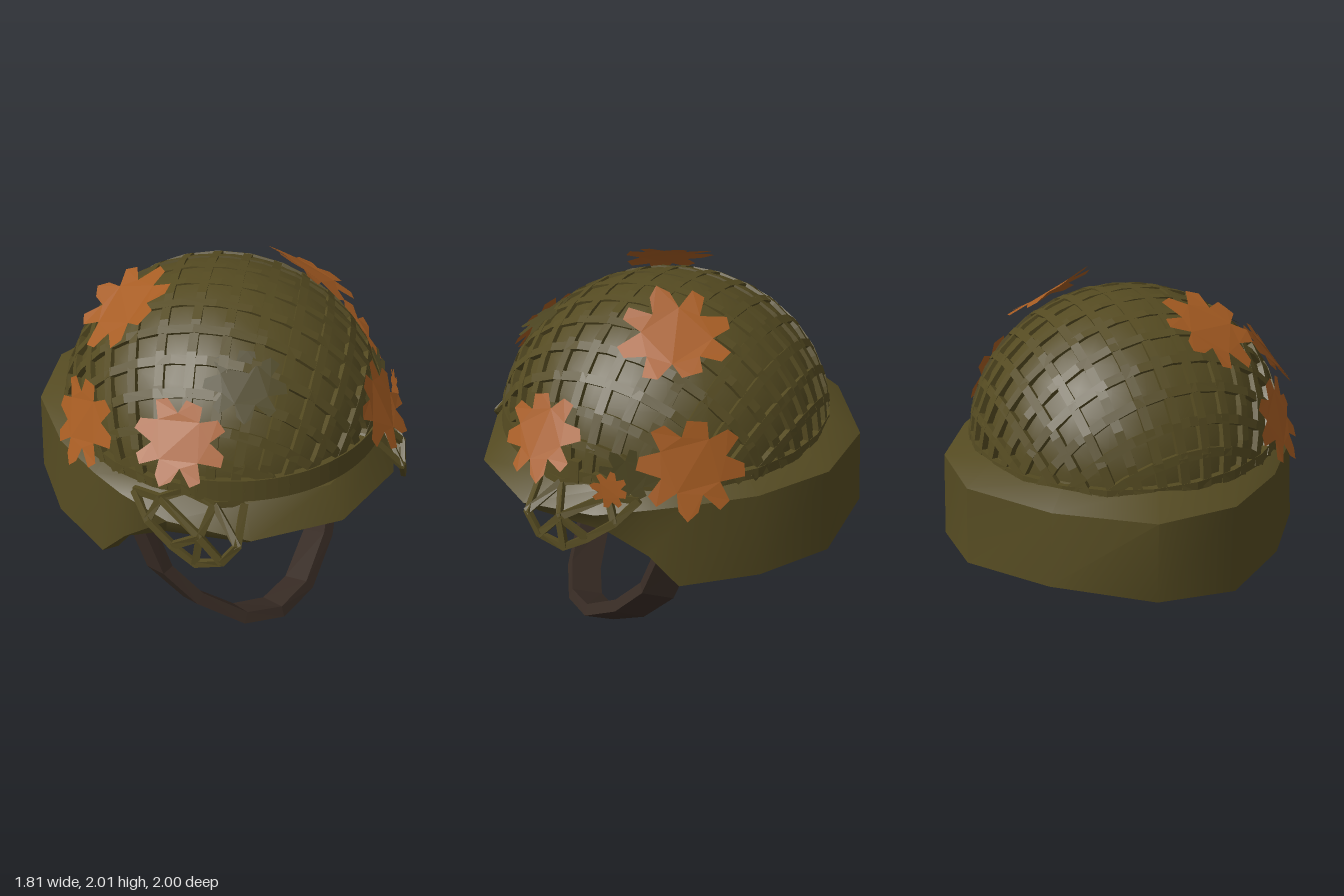
import * as THREE from 'three';
import { mergeGeometries, toCreasedNormals } from 'three/addons/utils/BufferGeometryUtils.js';

const V = (x, y, z) => new THREE.Vector3(x, y, z);
const CENTER = V(0, 1.2, 0.03), RADII = V(0.78, 0.735, 0.82);

// Skin closed rings of points; rings run counter-clockwise about the direction of advance
function loft(rings, capped = false) {
  const n = rings[0].length, index = [];
  for (let i = 0; i < rings.length - 1; i++) {
    for (let j = 0; j < n; j++) {
      const a = i * n + j, b = i * n + (j + 1) % n;
      index.push(a, b, b + n, a, b + n, a + n);
    }
  }
  if (capped) {
    const e = (rings.length - 1) * n;
    for (let j = 1; j < n - 1; j++) index.push(0, j + 1, j, e, e + j, e + j + 1);
  }
  const geo = new THREE.BufferGeometry().setFromPoints(rings.flat());
  geo.setIndex(index);
  return geo;
}

function flat(geo) {
  const g = geo.toNonIndexed();
  g.computeVertexNormals();
  return g;
}

// Flat strap along a path; normalAt(point, tangent) gives the direction of its face
function ribbon(points, halfWidth, halfThick, normalAt) {
  return flat(loft(points.map((p, i) => {
    const t = points[Math.min(i + 1, points.length - 1)].clone().sub(points[Math.max(i - 1, 0)]).normalize();
    const n = normalAt(p, t).normalize();
    const w = n.clone().cross(t).normalize().multiplyScalar(halfWidth);
    n.multiplyScalar(halfThick);
    return [[1, -1], [1, 1], [-1, 1], [-1, -1]].map(([a, b]) =>
      p.clone().addScaledVector(w, a).addScaledVector(n, b));
  }), true));
}

const domeNormal = p => p.clone().sub(CENTER).divide(RADII).divide(RADII).normalize();

// Point on the dome from flat coordinates measured outwards from the crown
function domePoint(u, v, offset) {
  const a = Math.hypot(u, v) || 1e-6;
  const p = V(Math.sin(a) * u / a, Math.cos(a), Math.sin(a) * v / a).multiply(RADII).add(CENTER);
  return p.addScaledVector(domeNormal(p), offset);
}

// Half outline of the rim, back to front: ledge, upper edge, lower edge, inner lower edge
const COLUMNS = [
  [[0, 1.28, -0.79], [0, 1.20, -0.94], [0, 0.84, -1.0], [0, 0.80, -0.9]],
  [[0.42, 1.27, -0.69], [0.48, 1.19, -0.85], [0.49, 0.79, -0.88], [0.44, 0.77, -0.79]],
  [[0.62, 1.25, -0.48], [0.76, 1.18, -0.56], [0.78, 0.73, -0.58], [0.69, 0.71, -0.52]],
  [[0.75, 1.23, -0.14], [0.85, 1.17, -0.17], [0.89, 0.74, -0.18], [0.78, 0.69, -0.17]],
  [[0.75, 1.22, 0.12], [0.84, 1.17, 0.15], [0.87, 0.74, 0.22], [0.77, 0.70, 0.2]],
  [[0.72, 1.21, 0.32], [0.81, 1.16, 0.34], [0.81, 0.90, 0.35], [0.73, 0.88, 0.32]],
  [[0.64, 1.2, 0.52], [0.71, 1.11, 0.58], [0.68, 0.99, 0.52], [0.62, 0.99, 0.46]],
  [[0.41, 1.2, 0.77], [0.44, 1.06, 0.87], [0.41, 0.985, 0.8], [0.36, 0.99, 0.7]],
  [[0, 1.2, 0.89], [0, 1.06, 1.0], [0, 0.99, 0.9], [0, 0.99, 0.79]],
];
const mirrored = half => [...half, ...half.slice(1, -1).reverse().map(p => V(-p.x, p.y, p.z))];
const RINGS = [0, 1, 2, 3].map(k => mirrored(COLUMNS.map(c => V(...c[k]))));

function helmetRim() {
  // Ledge runs in under the dome
  const tucked = RINGS[0].map(p => V(p.x * 0.9, p.y + 0.02, p.z * 0.9));
  return toCreasedNormals(loft([tucked, ...RINGS.slice(0, 3)]), 0.6);
}

// Smooth padded lining rising from the lower edge
function helmetLining() {
  const profile = [[0.83, 1.03], [0.66, 1.25], [0.4, 1.42], [0.01, 1.49]];
  const geo = loft([RINGS[2], RINGS[3], ...profile.map(([s, y]) => RINGS[3].map(p => V(p.x * s, y, p.z * s)))]);
  geo.computeVertexNormals();
  return geo;
}

function netting() {
  const strips = [], limit = 1.53, step = 0.2, r = Math.SQRT1_2;
  // Two crossing families of strips, sinking into the cover towards the crown
  for (let k = -8; k <= 7; k++) {
    const c = (k + 0.5) * step;
    if (Math.abs(c) > limit - 0.1) continue;
    const end = Math.sqrt(limit * limit - c * c), count = Math.max(4, Math.round(end * 9));
    for (const side of [1, -1]) {
      const path = [];
      for (let i = 0; i <= count; i++) {
        const t = end * (2 * i / count - 1), u = (c + t) * r, v = (c - t) * r * side;
        path.push(domePoint(u, v, -0.013 + 0.02 * Math.hypot(u, v)));
      }
      strips.push(ribbon(path, 0.022, 0.015, domeNormal));
    }
  }
  // Hem, widest across the brow
  const arc = (from, to, width, angle) => {
    const path = [];
    for (let i = 0; i <= 24; i++) {
      const a = from + (to - from) * i / 24;
      path.push(domePoint(Math.sin(a) * angle, Math.cos(a) * angle, 0.018));
    }
    strips.push(ribbon(path, width, 0.016, domeNormal));
  };
  arc(-Math.PI, Math.PI, 0.025, 1.5);
  arc(-0.8, 0.8, 0.055, 1.48);
  return mergeGeometries(strips);
}

// Loose net hanging over each front corner of the brim
function netDrape(side) {
  const pts = [[0.4, 1.2, 0.76], [0.6, 1.24, 0.57], [0.76, 1.19, 0.38], [0.51, 1.06, 0.86],
    [0.57, 0.96, 0.82], [0.65, 0.92, 0.72], [0.71, 0.99, 0.62], [0.765, 1.09, 0.5],
    [0.63, 1.08, 0.73], [0.52, 1.2, 0.69], [0.7, 1.2, 0.51]].map(p => V(p[0] * side, p[1], p[2]));
  const chains = [[0, 3, 4, 5, 6, 7, 2], [9, 8, 6], [10, 8, 4], [1, 9, 3], [1, 10, 7], [0, 9, 1, 10, 2], [8, 5]];
  return mergeGeometries(chains.map(ch =>
    ribbon(ch.map(i => pts[i]), 0.018, 0.012, p => V(p.x, 0.1, p.z))));
}

function chinStrap() {
  const half = [[0, 0.068, 0.515], [0.21, 0.11, 0.475], [0.43, 0.285, 0.36], [0.56, 0.48, 0.245],
    [0.61, 0.74, 0.165], [0.64, 1.0, 0.1]].map(p => V(...p));
  const path = [...half.slice(1).reverse().map(p => V(-p.x, p.y, p.z)), ...half];
  return ribbon(path, 0.09, 0.032, (p, t) => t.clone().cross(V(0, 0.07, 0.17)));
}

// Broad leaf with blunt lobes, slightly cupped
function leafGeometry(size) {
  const half = [[0, 1], [12, 0.84], [24, 0.56], [36, 0.95], [50, 0.93], [62, 0.58], [80, 0.97], [94, 0.92],
    [108, 0.6], [124, 0.92], [140, 0.85], [153, 0.52], [167, 0.78], [180, 0.76]];
  const outline = [...half, ...half.slice(1, -1).reverse().map(([a, r]) => [-a, r])];
  const geo = new THREE.ShapeGeometry(new THREE.Shape(outline.map(([a, r]) => {
    const t = a * Math.PI / 180;
    return new THREE.Vector2(-Math.sin(t) * r * size, Math.cos(t) * r * size);
  })));
  const pos = geo.attributes.position;
  for (let i = 0; i < pos.count; i++) {
    pos.setZ(i, -0.4 * pos.getX(i) ** 2 + 0.2 * pos.getY(i) ** 2);
  }
  return flat(geo);
}

export function createModel() {
  const group = new THREE.Group();
  const material = (name, color, side = THREE.FrontSide) => {
    const m = new THREE.MeshStandardMaterial({ color, side });
    m.name = name;
    return m;
  };
  const olive = material('olive', 0x544a21);
  const orange = material('autumn orange', 0xa65c22, THREE.DoubleSide);
  const darkLeaf = material('dark leaf green', 0x4b4421, THREE.DoubleSide);
  const leather = material('dark brown', 0x372b24);
  const add = (name, geo, mat) => {
    const m = new THREE.Mesh(geo, mat);
    m.name = name;
    group.add(m);
    return m;
  };

  const dome = new THREE.SphereGeometry(1, 24, 9, 0, Math.PI * 2, 0, Math.PI / 2);
  dome.scale(RADII.x, RADII.y, RADII.z).translate(CENTER.x, CENTER.y, CENTER.z);
  add('dome', dome, olive);
  add('rim', helmetRim(), olive);
  add('lining', helmetLining(), olive);
  add('netting', netting(), olive);
  add('leftNetDrape', netDrape(1), olive);
  add('rightNetDrape', netDrape(-1), olive);
  add('chinStrap', chinStrap(), leather);

  // Leaves: centre, size, spin, upward tilt, material
  const leaves = [
    [[0.475, 1.85, 0.12], 0.28, 0.25, 0, orange],
    [[0.81, 1.37, 0.14], 0.265, 3.0, 0.1, orange],
    [[0.42, 1.42, 0.76], 0.24, 3.5, 0.25, orange],
    [[-0.61, 1.52, 0.55], 0.23, 2.9, 0.2, orange],
    [[-0.81, 1.4, 0.01], 0.25, 3.2, 0.1, orange],
    [[-0.48, 1.86, -0.1], 0.27, 1.8, 0, orange],
    [[0.75, 1.26, 0.51], 0.1, 1.4, 0, orange],
    [[-0.27, 1.71, 0.58], 0.2, 3.0, 0.25, darkLeaf],
    [[0.73, 1.3, 0.42], 0.15, 0.6, 0, darkLeaf],
  ];
  for (const [at, size, spin, tilt, mat] of leaves) {
    const leaf = add('leaf', leafGeometry(size), mat), p = V(...at);
    leaf.position.copy(p);
    leaf.lookAt(domeNormal(p).add(V(0, tilt, 0)).add(p));
    leaf.rotateZ(spin);
  }
  return group;
}
